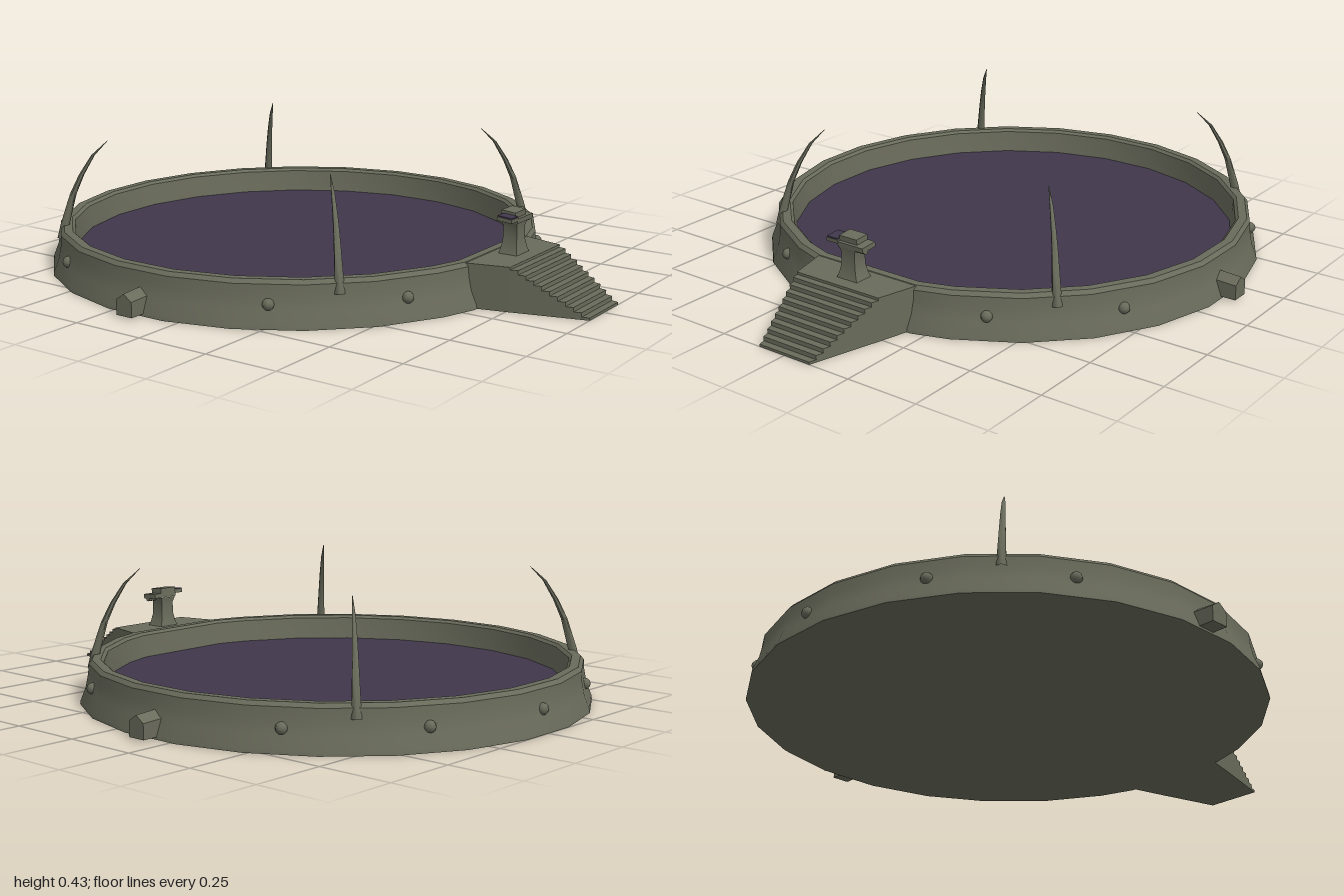
import * as THREE from 'three';
import { toCreasedNormals } from 'three/addons/utils/BufferGeometryUtils.js';

const stone = new THREE.MeshStandardMaterial({ color: 0x696b5b });
stone.name = 'stone';
const purple = new THREE.MeshStandardMaterial({ color: 0x40374b });
purple.name = 'purple floor';

const CENTRE = -0.16; // x of the arena's middle
const rad = THREE.MathUtils.degToRad;

function add(parent, name, geometry, material = stone) {
  const mesh = new THREE.Mesh(geometry, material);
  mesh.name = name;
  parent.add(mesh);
  return mesh;
}

// Skin between closed cross-sections, each an array of [x, y, z]
function loft(rows, crease = 0.45) {
  const pos = [];
  for (let i = 0; i < rows.length - 1; i++) {
    const n = rows[i].length;
    for (let j = 0; j < n; j++) {
      const k = (j + 1) % n;
      const a = rows[i][j], b = rows[i + 1][j], c = rows[i + 1][k], d = rows[i][k];
      if (Math.hypot(b[0] - c[0], b[2] - c[2]) > 1e-6) pos.push(...a, ...b, ...c);
      if (Math.hypot(a[0] - d[0], a[2] - d[2]) > 1e-6) pos.push(...a, ...c, ...d);
    }
  }
  const g = new THREE.BufferGeometry();
  g.setAttribute('position', new THREE.Float32BufferAttribute(pos, 3));
  g.computeVertexNormals();
  return toCreasedNormals(g, crease);
}

// Ring of 24 sides, with the side facing the stairs widened
const angles = Array.from({ length: 24 }, (_, k) => {
  const a = (k + 0.5) * 15;
  return rad(k === 0 ? 14 : k === 23 ? 346 : a);
});
const ring = (profile) =>
  loft(profile.map(([r, y]) => angles.map((a) => [r * Math.cos(a), y, r * Math.sin(a)])));

// Upright block with a symmetric trapezoid plan, narrowing from x0 to x1
function wedge(x0, half0, x1, half1, height) {
  const shape = new THREE.Shape([
    new THREE.Vector2(x0, -half0), new THREE.Vector2(x1, -half1),
    new THREE.Vector2(x1, half1), new THREE.Vector2(x0, half0),
  ]);
  const g = new THREE.ExtrudeGeometry(shape, { depth: height, bevelEnabled: false });
  return g.rotateX(-Math.PI / 2);
}

function makeClaw() {
  const spine = [
    [0.805, 0.1, 0.018], [0.795, 0.15, 0.015], [0.765, 0.25, 0.011],
    [0.735, 0.315, 0.009], [0.695, 0.38, 0.006], [0.645, 0.428, 0.001],
  ];
  return loft(spine.map(([r, y, w]) => [0, 1, 2, 3, 4, 5].map((i) => {
    const t = i * Math.PI / 3;
    return [r + w * Math.cos(t), y, w * Math.sin(t)];
  })), 1.2);
}

function makeSpout() {
  const shape = new THREE.Shape([
    new THREE.Vector2(-0.031, 0.008), new THREE.Vector2(0.031, 0.008),
    new THREE.Vector2(0.031, 0.062), new THREE.Vector2(0, 0.085),
    new THREE.Vector2(-0.031, 0.062),
  ]);
  const g = new THREE.ExtrudeGeometry(shape, { depth: 0.1, bevelEnabled: false });
  const p = g.attributes.position;
  // the roof drops slightly towards the mouth
  for (let i = 0; i < p.count; i++) if (p.getZ(i) > 0.05) p.setY(i, p.getY(i) * 0.92);
  g.computeVertexNormals();
  return g.translate(0, 0, 0.79);
}

function makeArena() {
  const arena = new THREE.Group();
  arena.name = 'arena';
  arena.position.x = CENTRE;

  add(arena, 'ringWall', ring([
    [0, 0], [0.847, 0], [0.845, 0.012], [0.828, 0.055], [0.819, 0.1], [0.817, 0.132],
    [0.806, 0.145], [0.778, 0.145], [0.768, 0.136], [0.757, 0.055],
  ]));
  add(arena, 'floor', ring([[0.76, 0.06], [0, 0.06]]), purple);

  // curved claws leaning inwards
  const claw = makeClaw();
  for (const a of [45, 135, 225, 315]) add(arena, 'claw', claw).rotation.y = rad(a);

  // round studs on the outer wall
  const stud = new THREE.SphereGeometry(0.019, 8, 6);
  for (const a of [30, 60, 120, 150, 180, 210, 240, 300, 330]) {
    const m = add(arena, 'stud', stud);
    m.position.set(0.818 * Math.cos(rad(a)), 0.072, 0.818 * Math.sin(rad(a)));
    m.rotation.y = -rad(a);
  }

  // peaked spouts at front and back
  const spout = makeSpout();
  for (const turn of [0, Math.PI]) add(arena, 'spout', spout).rotation.y = turn;
  return arena;
}

function makeStairs() {
  const stairs = new THREE.Group();
  stairs.name = 'stairs';
  const half = (x) => x < 0.76 ? 0.2 - (x - 0.62) * 0.25 : 0.165 - (x - 0.76) * 0.27;
  add(stairs, 'landing', wedge(0.62, 0.2, 0.76, half(0.76), 0.143));
  const count = 10, run = 0.24 / count;
  for (let i = 0; i < count; i++) {
    const x = 0.76 + i * run;
    add(stairs, 'step', wedge(x, half(x), x + run, half(x + run), 0.143 * (1 - (i + 0.6) / (count + 0.2))));
  }
  return stairs;
}

function makeConsole() {
  const desk = new THREE.Group();
  desk.name = 'console';
  desk.position.set(0.682, 0.143, 0);
  // four-sided flared column
  const square = [[1, -1], [1, 1], [-1, 1], [-1, -1]];
  add(desk, 'column', loft([
    [0, 0.033, 0.04], [0.015, 0.029, 0.034], [0.04, 0.025, 0.028], [0.085, 0.024, 0.026], [0.105, 0.028, 0.034],
  ].map(([y, hx, hz]) => square.map(([sx, sz]) => [sx * hx, y, sz * hz]))));
  const box = (name, w, h, d, x, y, z, material) => {
    const m = add(desk, name, new THREE.BoxGeometry(w, h, d), material);
    m.position.set(x, y, z);
    return m;
  };
  box('deskTop', 0.06, 0.016, 0.1, 0, 0.112, -0.015).rotation.z = -0.08;
  box('deskBlock', 0.05, 0.02, 0.07, -0.004, 0.128, 0).rotation.z = -0.08;
  box('sideTray', 0.052, 0.012, 0.044, 0.006, 0.119, 0.056).rotation.z = -0.08;
  box('screen', 0.05, 0.004, 0.04, 0.006, 0.127, 0.056, purple).rotation.z = -0.08;
  const lever = add(desk, 'lever', new THREE.CylinderGeometry(0.01, 0.01, 0.04, 8));
  lever.rotation.x = Math.PI / 2;
  lever.position.set(0.012, 0.102, -0.043);
  return desk;
}

export function createModel() {
  const model = new THREE.Group();
  model.name = 'arenaModel';
  model.add(makeArena(), makeStairs(), makeConsole());
  return model;
}
